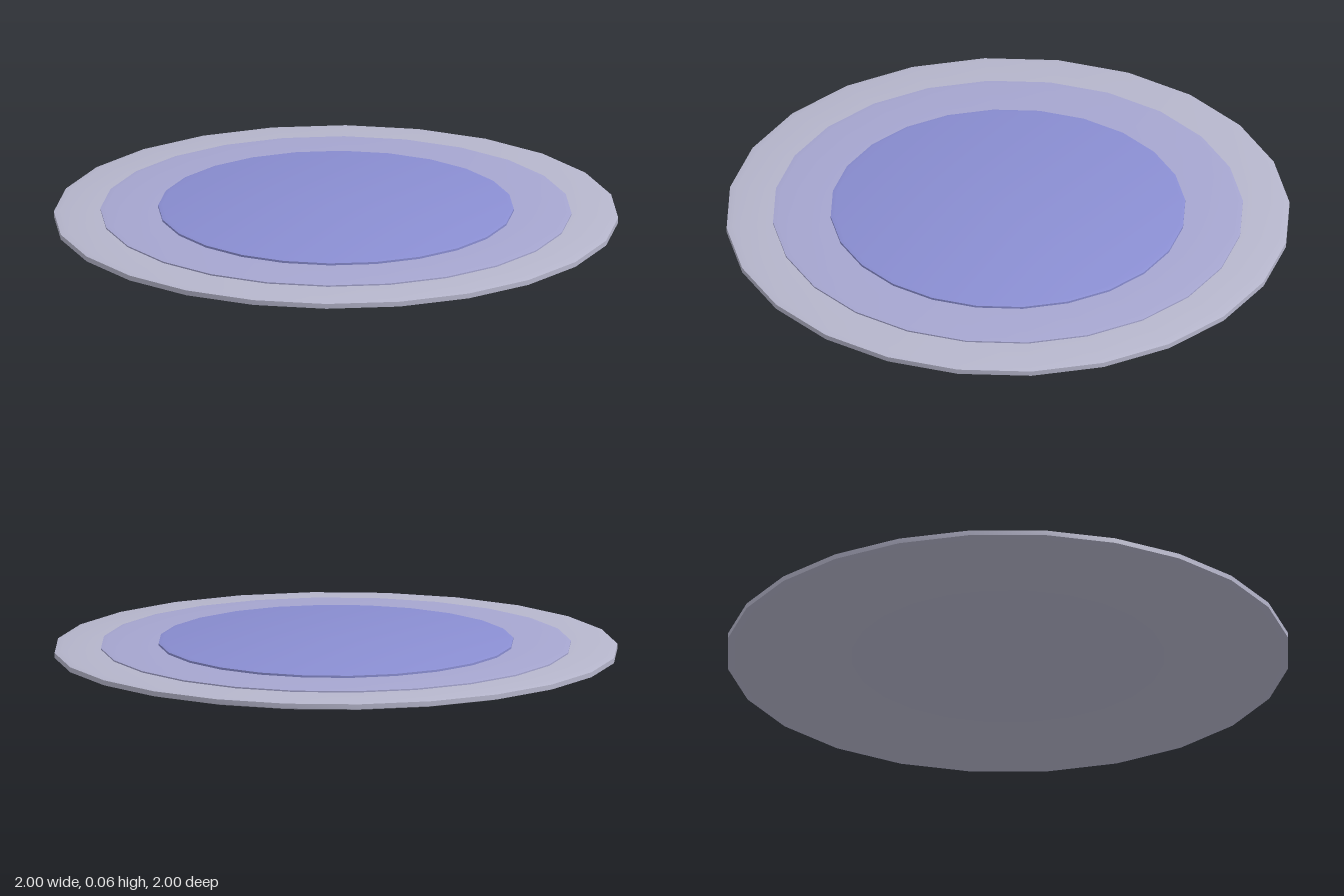
import * as THREE from 'three';
import { toCreasedNormals } from 'three/addons/utils/BufferGeometryUtils.js';

const SIDES = 24;

// A closed 24-sided disc turned from a [radius, height] profile, bottom to top.
function disc(name, color, profile) {
  const points = profile.map(([r, y]) => new THREE.Vector2(r, y));
  const geometry = toCreasedNormals(new THREE.LatheGeometry(points, SIDES), 0.4);
  const mesh = new THREE.Mesh(geometry, new THREE.MeshStandardMaterial({ color }));
  mesh.name = name;
  return mesh;
}

export function createModel() {
  const group = new THREE.Group();
  group.name = 'steppedDisc';

  // Wide base plate with a bevelled underside and gently sloping top
  group.add(disc('basePlate', 0xb6b6cc, [
    [0, 0], [0.96, 0.004], [1, 0.014], [1, 0.032], [0.975, 0.037], [0.8, 0.042], [0, 0.042],
  ]));

  // Middle tier
  group.add(disc('middleTier', 0xa6a6d0, [
    [0, 0.036], [0.835, 0.036], [0.835, 0.046], [0.815, 0.049], [0.6, 0.053], [0, 0.053],
  ]));

  // Raised centre
  group.add(disc('centreTier', 0x8a8ed2, [
    [0, 0.048], [0.63, 0.048], [0.63, 0.06], [0.615, 0.064], [0, 0.065],
  ]));

  return group;
}
